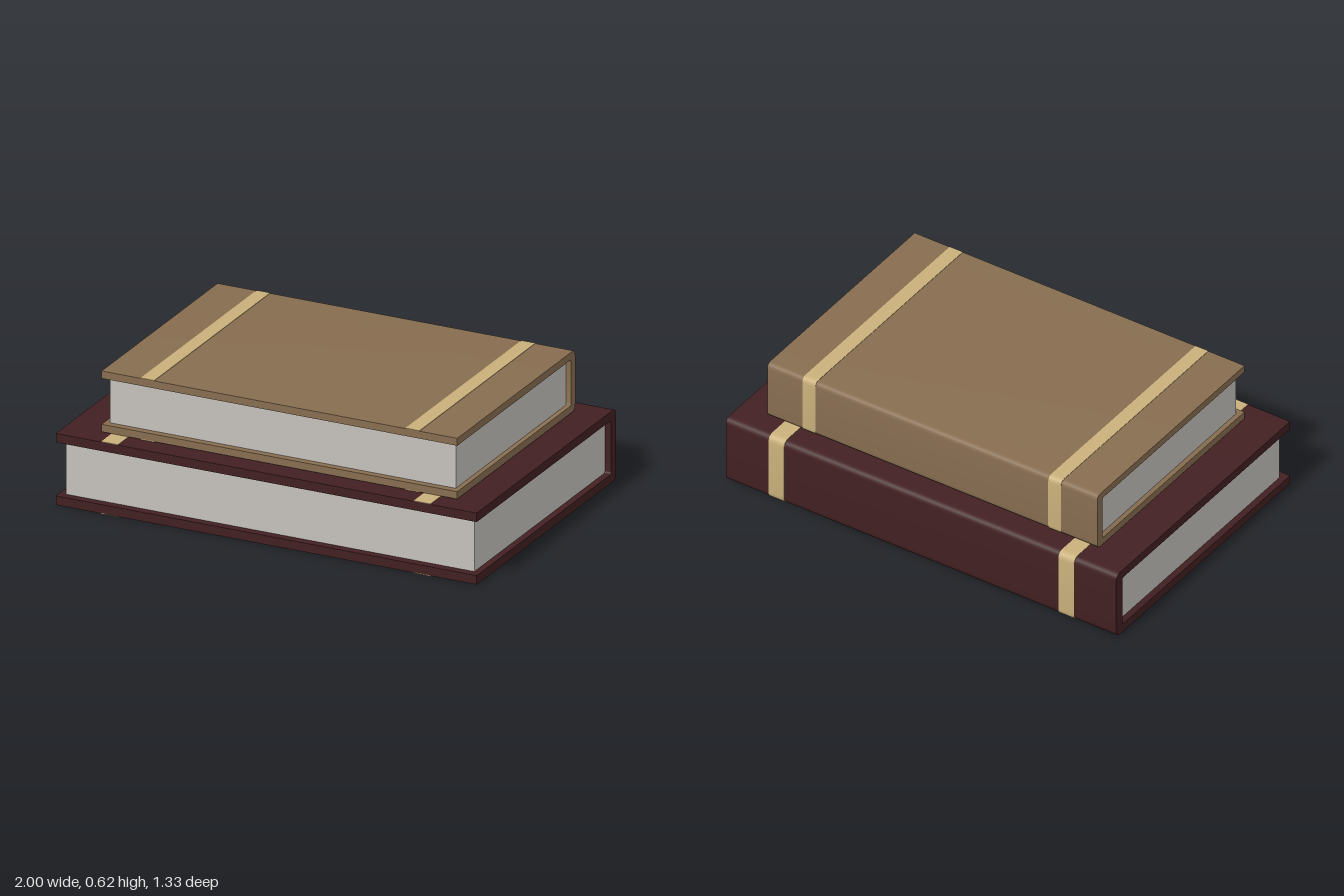
import * as THREE from 'three';
import { toCreasedNormals } from 'three/addons/utils/BufferGeometryUtils.js';

const material = (name, color, side = THREE.FrontSide) =>
  Object.assign(new THREE.MeshStandardMaterial({ color, side }), { name });

// Traces a U outline around the spine, in (z, y), from top front to bottom front
function traceU(path, front, back, bottom, top, r) {
  path.lineTo(front, top);
  path.lineTo(back + r, top);
  path.quadraticCurveTo(back, top, back, top - r);
  path.lineTo(back, bottom + r);
  path.quadraticCurveTo(back, bottom, back + r, bottom);
  path.lineTo(front, bottom);
}

// Closed U-shaped wall whose thickness may differ between boards and spine
function wallShape(front, back, bottom, top, board, spine, r, rInner) {
  const shape = new THREE.Shape();
  shape.moveTo(front, top);
  traceU(shape, front, back, bottom, top, r);
  const inner = new THREE.Path();
  inner.moveTo(front, top - board);
  traceU(inner, front, back + spine, bottom + board, top - board, rInner);
  inner.getPoints(6).reverse().forEach((p) => shape.lineTo(p.x, p.y));
  return shape;
}

// Extrudes a (z, y) profile from x0 to x1
function extrudeX(shape, x0, x1) {
  const geometry = new THREE.ExtrudeGeometry(shape, { depth: x1 - x0, bevelEnabled: false, curveSegments: 6 });
  geometry.rotateY(-Math.PI / 2).translate(x1, 0, 0);
  return toCreasedNormals(geometry, 0.6);
}

function createBook(name, b, coverMaterial, pageMaterial, bandMaterial) {
  const book = new THREE.Group();
  book.name = name;
  const add = (part, geometry, mat) => {
    const mesh = new THREE.Mesh(geometry, mat);
    mesh.name = part;
    book.add(mesh);
    return mesh;
  };

  // Boards and rounded spine
  add('cover', extrudeX(wallShape(b.front, b.back, b.bottom, b.top, b.board, b.spine, b.r, 0.01), b.x0, b.x1), coverMaterial);

  // Page block, set in from the boards
  const zBack = b.back + b.spine;
  const height = b.top - b.bottom - 2 * b.board;
  add('pages', new THREE.BoxGeometry(b.x1 - b.x0 - 2 * b.inset, height, b.pageFront - zBack), pageMaterial)
    .position.set((b.x0 + b.x1) / 2, (b.top + b.bottom) / 2, (b.pageFront + zBack) / 2);

  // Thin bands wrapped round both boards and the spine
  const e = 0.002;
  const band = wallShape(b.front, b.back - e, b.bottom - e, b.top + e, 2 * e, 2 * e, b.r + e, b.r - e);
  b.bands.forEach(([x0, x1]) => add('band', extrudeX(band, x0, x1), bandMaterial));
  return book;
}

export function createModel() {
  const maroon = material('maroon leather', 0x422022);
  const brown = material('brown leather', 0x876d50);
  const paper = material('paper', 0xc6c2bd);
  const gold = material('gold band', 0xc9b07b);

  const model = new THREE.Group();
  model.name = 'bookStack';
  model.add(
    createBook('lowerBook', {
      x0: -1, x1: 1, front: 0.662, back: -0.662, bottom: 0.002, top: 0.33,
      board: 0.041, spine: 0.048, r: 0.035, inset: 0.03, pageFront: 0.625,
      bands: [[-0.785, -0.705], [0.7, 0.78]],
    }, maroon, paper, gold),
    createBook('upperBook', {
      x0: -0.83, x1: 0.86, front: 0.567, back: -0.553, bottom: 0.334, top: 0.613,
      board: 0.034, spine: 0.04, r: 0.027, inset: 0.023, pageFront: 0.535,
      bands: [[-0.645, -0.58], [0.613, 0.68]],
    }, brown, paper, gold),
  );
  return model;
}
